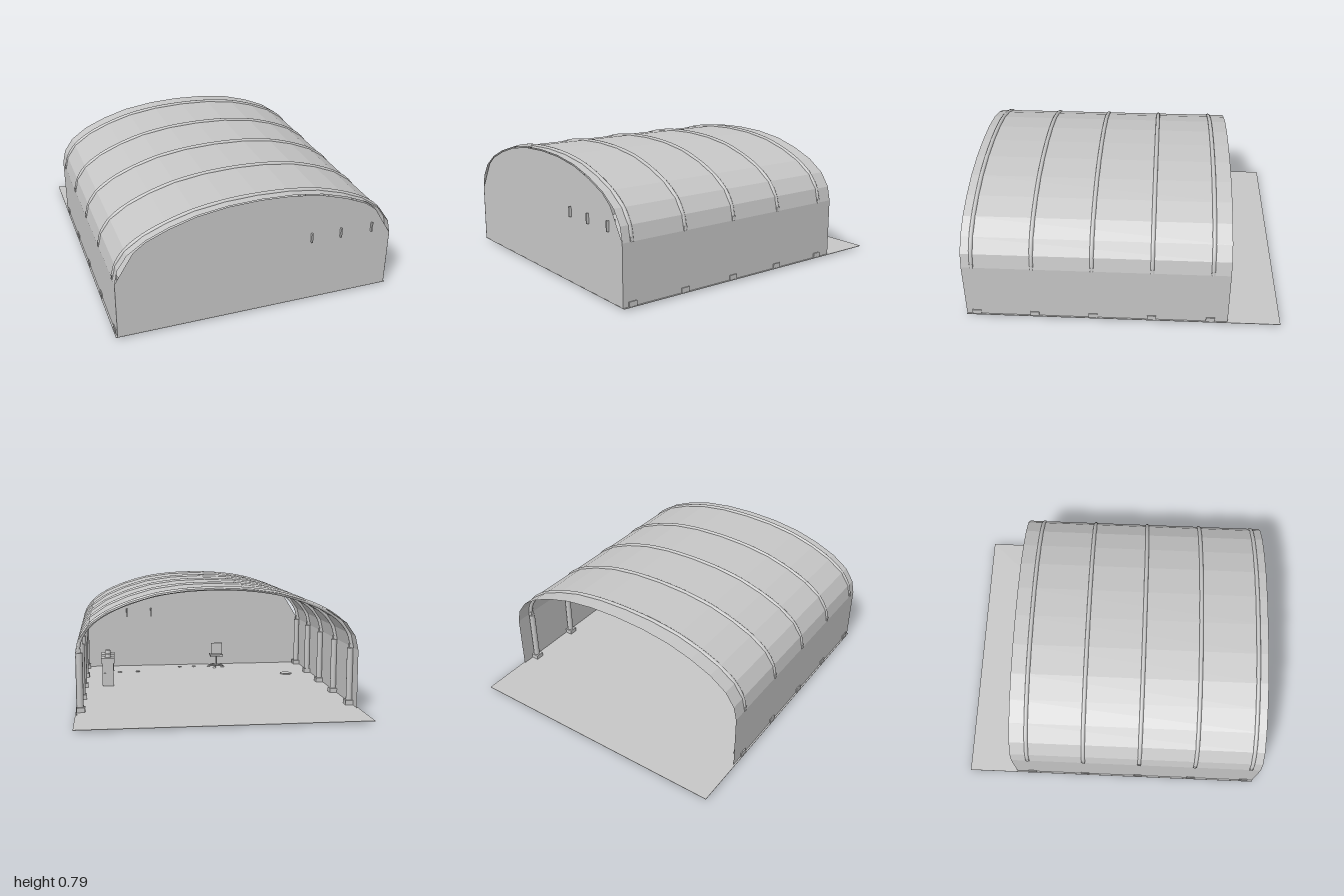
import * as THREE from 'three';

const grey = new THREE.MeshStandardMaterial({ color: 0xc6c6c6, side: THREE.DoubleSide });
grey.name = 'light grey';

const FLOOR = 0.014, EAVE = 0.385, HALF = 0.88, FRONT = 0.985, BACK = -0.67;
const RIB_Z = [0.92, 0.55, 0.18, -0.19, -0.56];

// right half of the vault, from the eave to the crown
const HALF_ARCH = [[0.88, 0.385], [0.86, 0.475], [0.8, 0.562], [0.69, 0.638], [0.55, 0.697], [0.39, 0.743], [0.2, 0.77], [0, 0.778]];
const mirrored = (half) => [...half, ...half.slice(0, -1).reverse().map(([x, y]) => [-x, y])];
const ARCH = mirrored(HALF_ARCH);

function add(parent, name, geometry, x = 0, y = 0, z = 0) {
  const mesh = new THREE.Mesh(geometry, grey);
  mesh.name = name;
  mesh.position.set(x, y, z);
  parent.add(mesh);
  return mesh;
}
const box = (parent, name, w, h, d, x, y, z) => add(parent, name, new THREE.BoxGeometry(w, h, d), x, y, z);

// faceted sheet that follows a profile from front to back
function sheet(points) {
  const geometry = new THREE.PlaneGeometry(1, 1, 1, points.length - 1);
  const pos = geometry.attributes.position;
  for (let i = 0; i < pos.count; i++) {
    const [x, y] = points[Math.floor(i / 2)];
    pos.setXYZ(i, x, y, i % 2 ? BACK : FRONT);
  }
  const flat = geometry.toNonIndexed();
  flat.computeVertexNormals();
  return flat;
}

function addRib(group, z) {
  const curve = new THREE.CatmullRomCurve3(ARCH.map(([x, y]) => new THREE.Vector3(x * 0.992, y - 0.003, 0)));
  add(group, 'roofRib', new THREE.TubeGeometry(curve, 56, 0.0135, 10), 0, 0, z);
  for (const side of [-1, 1]) {
    const h = EAVE - FLOOR;
    add(group, 'pillar', new THREE.CylinderGeometry(0.02, 0.02, h, 12), side * 0.86, FLOOR + h / 2, z);
    box(group, 'pillarBase', 0.055, 0.03, 0.056, side * 0.859, FLOOR + 0.015, z);
    box(group, 'ribShoe', 0.03, 0.025, 0.024, side * 0.867, EAVE + 0.014, z);
  }
}

// cabinet with a control panel, standing by the left wall
function addMachine(group, z) {
  const machine = new THREE.Group();
  machine.name = 'machine';
  machine.position.set(0.69, FLOOR, z);
  box(machine, 'cabinet', 0.08, 0.17, 0.08, 0, 0.085, 0);
  box(machine, 'cabinetHead', 0.095, 0.04, 0.095, 0, 0.185, 0);
  add(machine, 'cabinetCap', new THREE.CylinderGeometry(0.018, 0.022, 0.025, 12), 0, 0.217, 0);
  box(machine, 'cabinetDoor', 0.06, 0.07, 0.006, 0, 0.06, -0.041);
  box(machine, 'controlPanel', 0.006, 0.05, 0.05, -0.041, 0.13, 0);
  group.add(machine);
}

// swivel chair whose castors reach just below the floor sheet
function addChair(group, x, z) {
  const chair = new THREE.Group();
  chair.name = 'chair';
  chair.position.set(x, 0, z);
  for (let i = 0; i < 5; i++) {
    const a = (i / 5) * Math.PI * 2;
    const castor = add(chair, 'castor', new THREE.CylinderGeometry(0.012, 0.012, 0.018, 10), Math.cos(a) * 0.06, 0.012, Math.sin(a) * 0.06);
    castor.rotation.set(Math.PI / 2, 0, a);
    const leg = box(chair, 'chairLeg', 0.06, 0.008, 0.012, Math.cos(a) * 0.03, 0.028, Math.sin(a) * 0.03);
    leg.rotation.y = -a;
  }
  add(chair, 'chairStem', new THREE.CylinderGeometry(0.008, 0.008, 0.08, 8), 0, 0.065, 0);
  box(chair, 'chairSeat', 0.1, 0.015, 0.1, 0, 0.11, 0);
  box(chair, 'chairBack', 0.09, 0.09, 0.012, 0, 0.17, -0.045);
  group.add(chair);
}

export function createModel() {
  const group = new THREE.Group();
  group.name = 'archedShelter';

  // floor reaches past the open back end
  box(group, 'floor', 1.78, 0.003, FRONT + 1, 0, FLOOR - 0.0015, (FRONT - 1) / 2);

  // vault and side walls
  add(group, 'roof', sheet(ARCH));
  for (const side of [-1, 1]) {
    add(group, 'sideWall', sheet([[side * HALF, FLOOR], [side * HALF, EAVE]]));
  }

  // front wall, cut off straight at the shoulders
  const edge = mirrored([[HALF, FLOOR], [HALF, EAVE], [0.765, 0.572], [0.69, 0.628], [0.55, 0.687], [0.39, 0.735], [0.2, 0.764], [0, 0.772]]);
  const wallShape = new THREE.Shape(edge.map(([x, y]) => new THREE.Vector2(x, y)));
  add(group, 'frontWall', new THREE.ShapeGeometry(wallShape), 0, 0, FRONT - 0.001);

  RIB_Z.forEach((z) => addRib(group, z));

  // upright brackets that pass through the front wall
  for (const x of [0.34, 0.535, 0.745]) box(group, 'wallBracket', 0.009, 0.063, 0.06, x, 0.454, 0.969);

  // furnishings inside
  addMachine(group, 0.23);
  addMachine(group, 0.4);
  addChair(group, -0.18, 0.865);
  add(group, 'stoolBase', new THREE.CylinderGeometry(0.045, 0.045, 0.012, 20), -0.68, 0.014, 0.5);
  for (const [x, z] of [[0, 0.88], [0.116, 0.872], [0.46, 0.713], [0.6, 0.7]]) {
    add(group, 'smallFoot', new THREE.CylinderGeometry(0.015, 0.015, 0.012, 12), x, 0.014, z);
  }
  return group;
}
